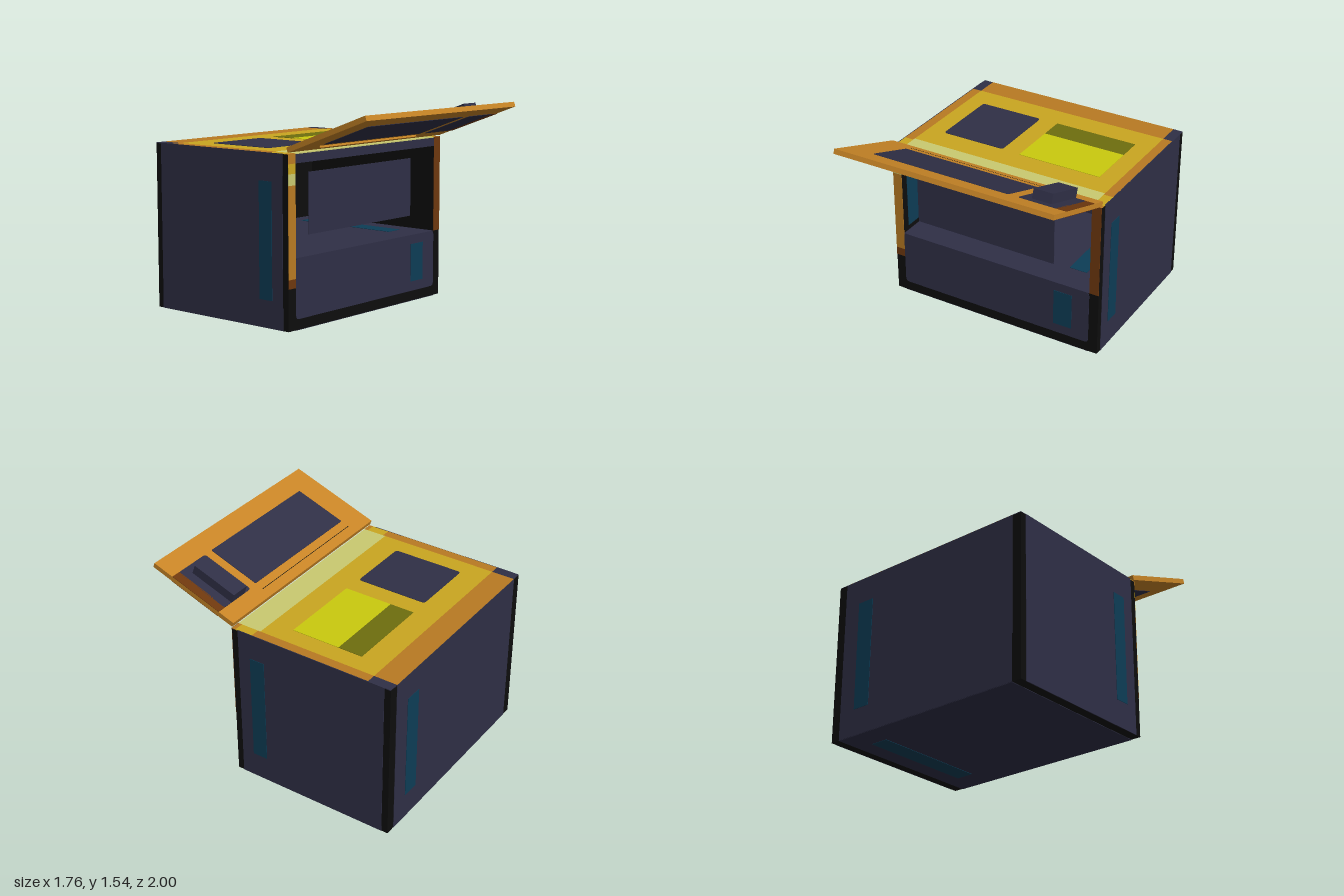
import * as THREE from 'three';

const mat = (name, color) => {
  const m = new THREE.MeshStandardMaterial({ color });
  m.name = name;
  return m;
};

export function createModel() {
  const model = new THREE.Group();
  model.name = 'cabinet';
  const navy = mat('navy', 0x2f2f46), black = mat('black', 0x0d0d0d), teal = mat('teal', 0x0d3d56);
  const orange = mat('orange', 0xc88526), amber = mat('dark orange', 0xb87a22), brown = mat('brown', 0x6e380e);
  const yellow = mat('yellow', 0xcaa620), pale = mat('pale green', 0xcaca70);
  const lime = mat('lime', 0xcaca0e), olive = mat('olive', 0x6e6e0e);
  const E = 0.003; // plate thickness

  // Box given by its limits on each axis
  const box = (name, m, x0, x1, y0, y1, z0, z1, parent = model) => {
    const mesh = new THREE.Mesh(new THREE.BoxGeometry(x1 - x0, y1 - y0, z1 - z0), m);
    mesh.position.set((x0 + x1) / 2, (y0 + y1) / 2, (z0 + z1) / 2);
    mesh.name = name;
    parent.add(mesh);
    return mesh;
  };

  // Thin rounded plate centred on its origin, facing +z
  const rounded = (name, m, w, h, r, parent = model) => {
    const s = new THREE.Shape();
    const a = w / 2, b = h / 2;
    s.moveTo(-a + r, -b);
    s.lineTo(a - r, -b).quadraticCurveTo(a, -b, a, -b + r);
    s.lineTo(a, b - r).quadraticCurveTo(a, b, a - r, b);
    s.lineTo(-a + r, b).quadraticCurveTo(-a, b, -a, b - r);
    s.lineTo(-a, -b + r).quadraticCurveTo(-a, -b, -a + r, -b);
    const mesh = new THREE.Mesh(new THREE.ExtrudeGeometry(s, { depth: E, bevelEnabled: false, curveSegments: 4 }), m);
    mesh.name = name;
    parent.add(mesh);
    return mesh;
  };

  // Hollow body: base, side walls, back wall and lid slab
  const X = 0.875, W = 0.8, H = 1.24, F = 0.31;
  box('base', black, -X, X, 0, 0.507, -1, F);
  box('backWall', black, -W, W, 0.507, H - 0.07, -1, -0.94);
  box('lidSlab', navy, -W, W, 1.17, H - E, -1, F);
  for (const s of [-1, 1]) {
    const side = (name, m, xa, xb, ...r) => box(name, m, Math.min(s * xa, s * xb), Math.max(s * xa, s * xb), ...r);
    side('sideWall', black, W, X, 0.507, H - E, -1, F);
    side('sidePanel', navy, X - E, X + E, 0, H, -0.95, 0.26);
    side('sideStripe', teal, X, X + 2 * E, 0.2, 1.04, 0.04, 0.16);
    // Lid edges along both sides
    side('lidCorner', navy, W, X, H - 2 * E, H, -1, -0.82);
    side('lidSideRail', amber, W, X, H - 2 * E, H, -0.82, 0.14);
    side('lidSideTab', yellow, W, X, H - 2 * E, H, 0.14, 0.28);
    side('lidFrontTab', amber, W, X, H - 2 * E, H, 0.28, F);
  }

  // Back and underside skins with their stripes
  box('backPanel', navy, -W, W, 0, H - E, -1 - E, -1);
  box('backStripe', teal, 0.52, 0.66, 0.2, 1.04, -1 - 2 * E, -1);
  box('bottomPanel', navy, -W, W, -E, 0, -1, F);
  box('bottomStripe', teal, 0.52, 0.66, -2 * E, 0, -0.81, 0.1);

  // Interior
  box('cavityFloor', navy, -W, W, 0.504, 0.51, -0.94, F);
  box('floorStripe', teal, 0.52, 0.66, 0.51, 0.51 + E, -0.81, 0.09);
  box('innerStripe', teal, -W, -W + E, 0.55, 1.1, 0.02, 0.25);
  rounded('innerBackPanel', navy, 1.3, 0.5, 0.05).position.set(-0.08, 0.85, -0.94);
  box('frontScreen', navy, -0.66, 0.505, 0.66, 1.1, F - 2 * E, F);

  // Lower front
  rounded('frontPanel', navy, 1.6, 0.434, 0.03).position.set(0, 0.293, F);
  box('frontStripe', teal, 0.51, 0.66, 0.15, 0.44, F, F + 2 * E);

  // Coloured edge strips of the front posts
  const post = [[0.3, 0.365, brown], [0.365, 1.02, amber], [1.02, 1.1, pale], [1.1, 1.17, yellow], [1.17, H, amber]];
  for (const [a, b, m] of post) box('rightPostStrip', m, -X, -W, a, b, F, F + E);
  box('leftPostStrip', brown, W, X, 0.51, H, F, F + E);

  // Lid surface
  box('lidRearBand', amber, -W, W, H - 2 * E, H, -1, -0.82);
  box('lidPanel', yellow, -W, W, H - 2 * E, H, -0.82, 0.12);
  box('lidFrontBand', pale, -W, W, H - 2 * E, H, 0.12, F);
  const pad = rounded('lidPad', navy, 0.51, 0.56, 0.025);
  pad.rotation.x = -Math.PI / 2;
  pad.position.set(-0.405, H, -0.35);
  box('limeTile', lime, 0, 0.66, H, H + E, -0.44, -0.06);
  box('oliveTile', olive, 0, 0.66, H, H + E, -0.63, -0.44);

  // Raised front flap, hinged at the lid's front edge
  const flap = new THREE.Group();
  flap.name = 'flap';
  flap.position.set(0, 1.25, 0.308);
  flap.rotation.x = -THREE.MathUtils.degToRad(20);
  model.add(flap);
  const T = 0.037;
  box('flapBoard', orange, -X, X, 0, T, 0, 0.735, flap);
  box('flapGroove', black, -0.66, 0.435, T, T + 0.001, 0.077, 0.081, flap);
  box('flapLedge', orange, -0.66, 0.435, -0.014, 0, 0.105, 0.11, flap);
  for (const [name, y] of [['Top', T], ['Under', -E]]) {
    const win = rounded('flapWindow' + name, navy, 1.095, 0.42, 0.01, flap);
    win.rotation.x = -Math.PI / 2;
    win.position.set(-0.1125, y, 0.357);
    const plate = rounded('handlePlate' + name, navy, 0.3, 0.43, 0.02, flap);
    plate.rotation.x = -Math.PI / 2;
    plate.position.set(0.66, y, 0.35);
    box('flapEdgeStrip' + name, brown, W, X, y, y + E, 0.135, 0.565, flap);
  }
  box('handle', navy, 0.58, 0.73, T, T + 0.075, 0.135, 0.5, flap);

  return model;
}
